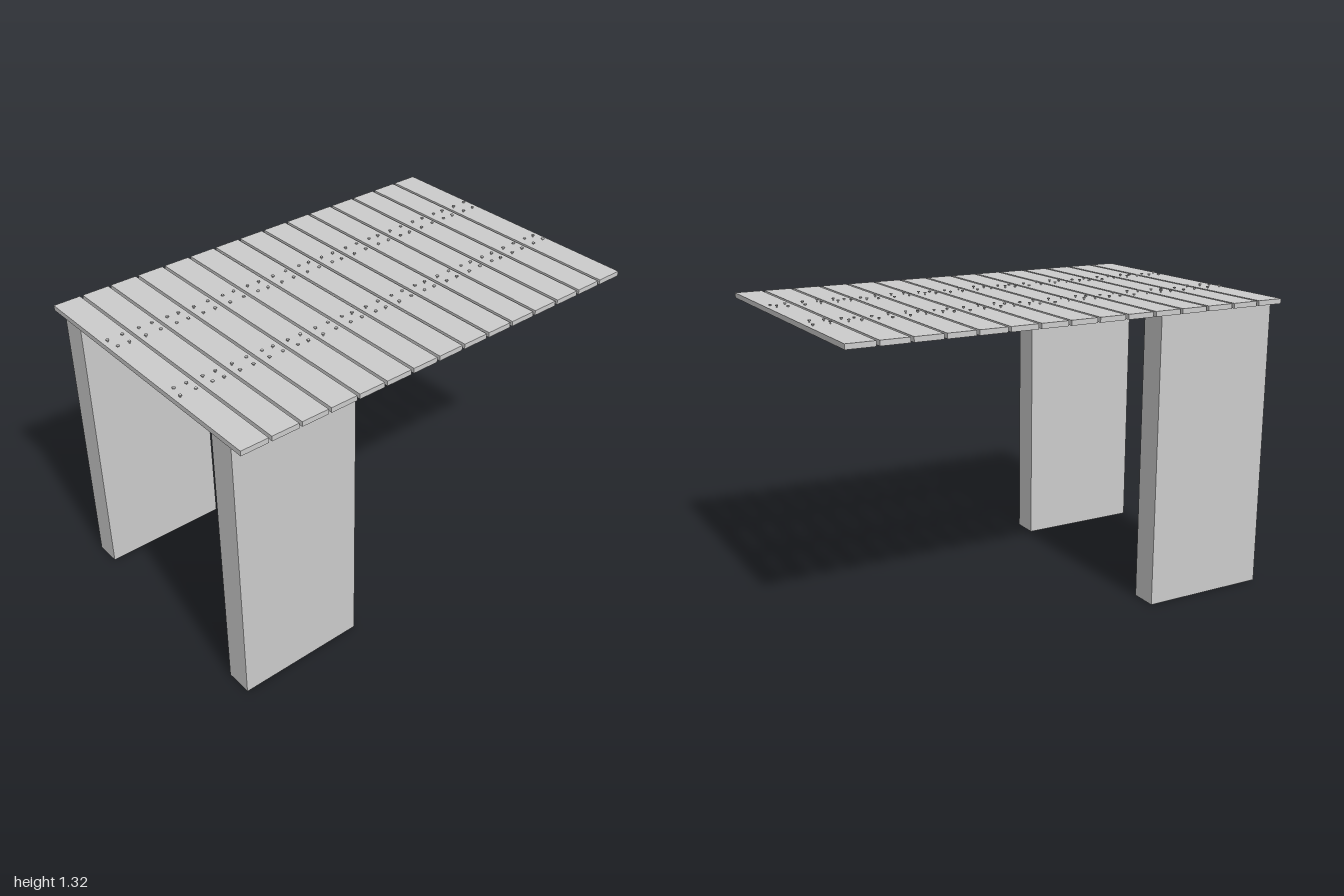
import * as THREE from 'three';

const material = new THREE.MeshStandardMaterial({ color: 0xcccccc, flatShading: true });

// Box given by its minimum and maximum corners
function box(name, x0, x1, y0, y1, z0, z1) {
  const mesh = new THREE.Mesh(new THREE.BoxGeometry(x1 - x0, y1 - y0, z1 - z0), material);
  mesh.position.set((x0 + x1) / 2, (y0 + y1) / 2, (z0 + z1) / 2);
  mesh.name = name;
  return mesh;
}

// Nail standing slightly proud of the boards
const headGeometry = new THREE.CylinderGeometry(0.007, 0.007, 0.004, 8);
const shankGeometry = new THREE.CylinderGeometry(0.003, 0.003, 0.03, 6);
function nail(x, y, z) {
  const group = new THREE.Group();
  group.name = 'nail';
  const head = new THREE.Mesh(headGeometry, material);
  head.name = 'nailHead';
  const shank = new THREE.Mesh(shankGeometry, material);
  shank.name = 'nailShank';
  shank.position.y = -0.016;
  group.add(head, shank);
  group.position.set(x, y, z);
  return group;
}

export function createModel() {
  const model = new THREE.Group();
  model.name = 'plankDeck';

  // Two slab posts under the front half
  model.add(box('rightPost', -0.617, -0.498, 0, 1.284, 0.395, 0.97));
  model.add(box('leftPost', 0.425, 0.545, 0, 1.284, 0.395, 0.97));

  // Stringers below the boards, sloping very slightly
  for (const [name, x0] of [['rightStringer', -0.31], ['leftStringer', 0.146]]) {
    const stringer = box(name, x0, x0 + 0.122, 1.259, 1.28, -0.96, 0.95);
    stringer.rotation.x = 0.003;
    model.add(stringer);
  }

  // Boards with narrow gaps, nailed to both stringers
  const count = 15, width = 0.121, pitch = (2 - width) / (count - 1);
  for (let i = 0; i < count; i++) {
    const z0 = -1 + i * pitch;
    const board = new THREE.Group();
    board.name = 'nailedBoard';
    board.add(box('board', -0.648, 0.648, 1.284, 1.306, z0, z0 + width));
    [-0.265, -0.2, 0.185, 0.24].forEach((x, j) => {
      for (const side of [-1, 1]) {
        // Small hand-driven irregularity
        const drift = 0.008 * Math.sin(i * 2.3 + j * 1.7 + side);
        board.add(nail(x + drift * 0.5, 1.313 + drift * 0.3, z0 + width / 2 + side * 0.03 + drift));
      }
    });
    model.add(board);
  }
  return model;
}
